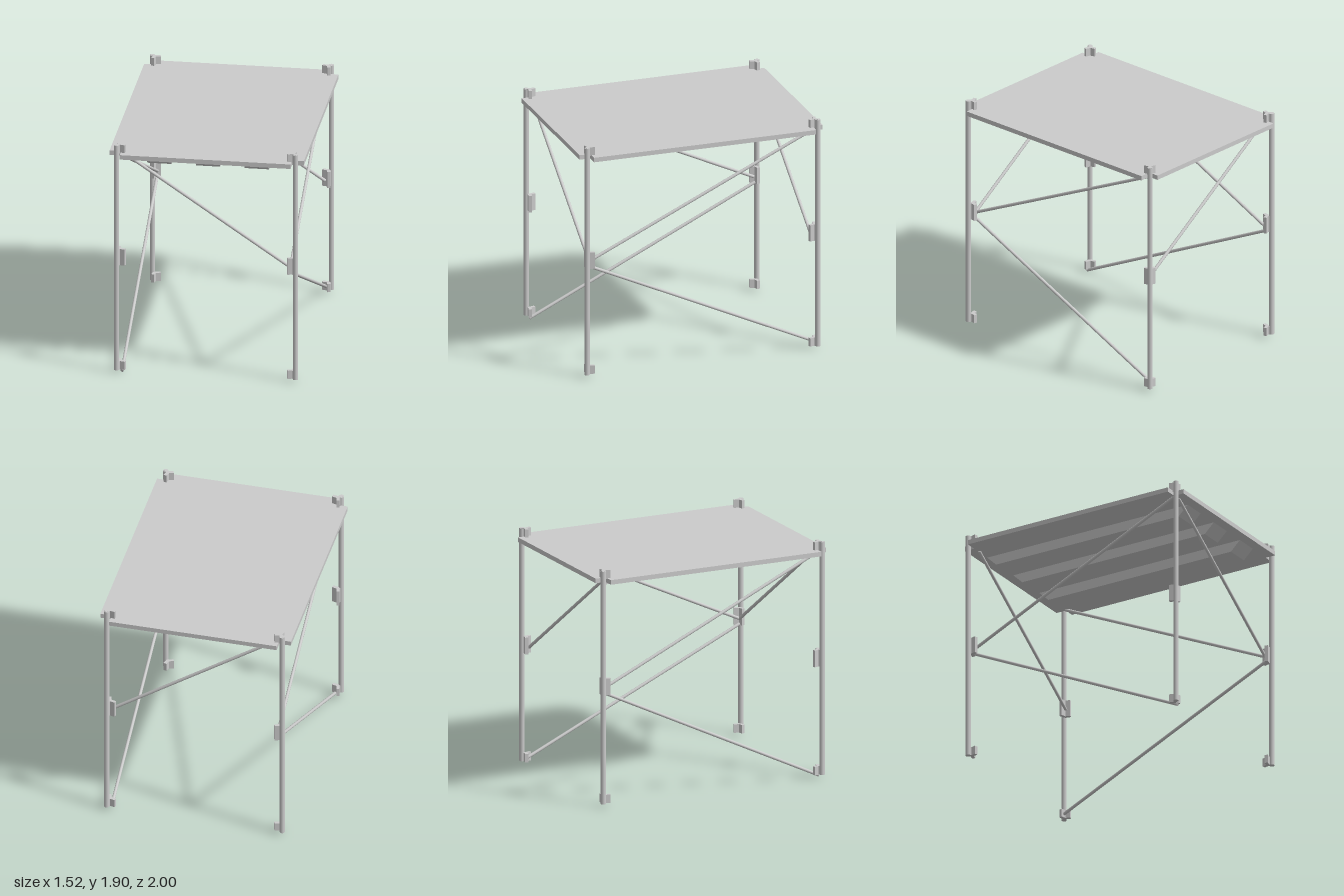
import * as THREE from 'three';

const material = new THREE.MeshStandardMaterial({ color: 0xcccccc });

function addMesh(parent, name, geometry) {
  const mesh = new THREE.Mesh(geometry, material);
  mesh.name = name;
  parent.add(mesh);
  return mesh;
}

// Three-armed clamp section, first arm along +x
function clampShape(length, halfWidth) {
  const points = [];
  const inner = halfWidth / Math.sin(Math.PI / 3);
  for (let i = 0; i < 3; i++) {
    const a = (i * 2 * Math.PI) / 3;
    const c = Math.cos(a), s = Math.sin(a);
    for (const side of [-1, 1]) {
      points.push(new THREE.Vector2(length * c - side * halfWidth * s, length * s + side * halfWidth * c));
    }
    points.push(new THREE.Vector2(inner * Math.cos(a + Math.PI / 3), inner * Math.sin(a + Math.PI / 3)));
  }
  return new THREE.Shape(points);
}

// Round rod between two points
function addRod(parent, name, from, to, radius) {
  const a = new THREE.Vector3(...from), b = new THREE.Vector3(...to);
  const rod = addMesh(parent, name, new THREE.CylinderGeometry(radius, radius, a.distanceTo(b), 16));
  rod.position.copy(a).add(b).multiplyScalar(0.5);
  rod.quaternion.setFromUnitVectors(new THREE.Vector3(0, 1, 0), b.sub(a).normalize());
}

export function createModel() {
  const table = new THREE.Group();
  table.name = 'foldingTable';

  // Table top with a notch at each corner
  const outline = new THREE.Shape([
    [-0.67, -1], [0.67, -1], [0.67, -0.915], [0.762, -0.915], [0.762, 0.915], [0.67, 0.915],
    [0.67, 1], [-0.67, 1], [-0.67, 0.915], [-0.762, 0.915], [-0.762, -0.915], [-0.67, -0.915],
  ].map(([x, y]) => new THREE.Vector2(x, y)));
  const top = new THREE.ExtrudeGeometry(outline, { depth: 0.037, bevelEnabled: false });
  top.rotateX(-Math.PI / 2);
  addMesh(table, 'tableTop', top).position.y = 1.8;

  // Three stiffening beams with sloped ends
  const beamSide = new THREE.Shape([
    new THREE.Vector2(-0.835, 1.72), new THREE.Vector2(0.835, 1.72),
    new THREE.Vector2(0.92, 1.802), new THREE.Vector2(-0.92, 1.802),
  ]);
  const beam = new THREE.ExtrudeGeometry(beamSide, { depth: 0.19, bevelEnabled: false });
  beam.translate(0, 0, -0.095).rotateY(Math.PI / 2);
  for (const x of [-0.382, 0, 0.382]) addMesh(table, 'beam', beam).position.x = x;

  // Legs with top, middle and bottom clamps
  const shape = clampShape(0.046, 0.013);
  const clamps = [['bottomClamp', 0.025, 0.068], ['middleClamp', 0.895, 0.135], ['topClamp', 1.83, 0.072]];
  for (const sx of [-1, 1]) {
    for (const sz of [-1, 1]) {
      const corner = new THREE.Group();
      corner.name = (sz > 0 ? 'front' : 'back') + (sx > 0 ? 'Left' : 'Right') + 'Leg';
      corner.position.set(sx * 0.68, 0, sz * 0.929);
      corner.rotation.y = Math.atan2(-sz, sx);
      addRod(corner, 'legTube', [0.031, 0.025, 0], [0.031, 1.9, 0], 0.021);
      for (const [name, y, height] of clamps) {
        const clamp = new THREE.ExtrudeGeometry(shape, { depth: height, bevelEnabled: false });
        clamp.rotateX(-Math.PI / 2);
        addMesh(corner, name, clamp).position.y = y;
      }
      table.add(corner);
    }
  }

  // Diagonal braces: both sides run from a middle clamp to the opposite top and bottom
  const r = 0.0125;
  for (const s of [-1, 1]) {
    const side = s > 0 ? 'left' : 'right';
    addRod(table, side + 'UpperBrace', [s * 0.658, 0.95, s * 0.91], [s * 0.658, 1.8, s * -0.91], r);
    addRod(table, side + 'LowerBrace', [s * 0.66, 0.905, s * 0.92], [s * 0.66, s > 0 ? 0.05 : 0.012, s * -0.94], r);
  }
  addRod(table, 'frontBrace', [-0.61, 1.8, 0.918], [0.66, 0.945, 0.918], r);
  addRod(table, 'backBrace', [-0.61, 1.8, -0.907], [0.66, 0.945, -0.907], r);

  return table;
}
